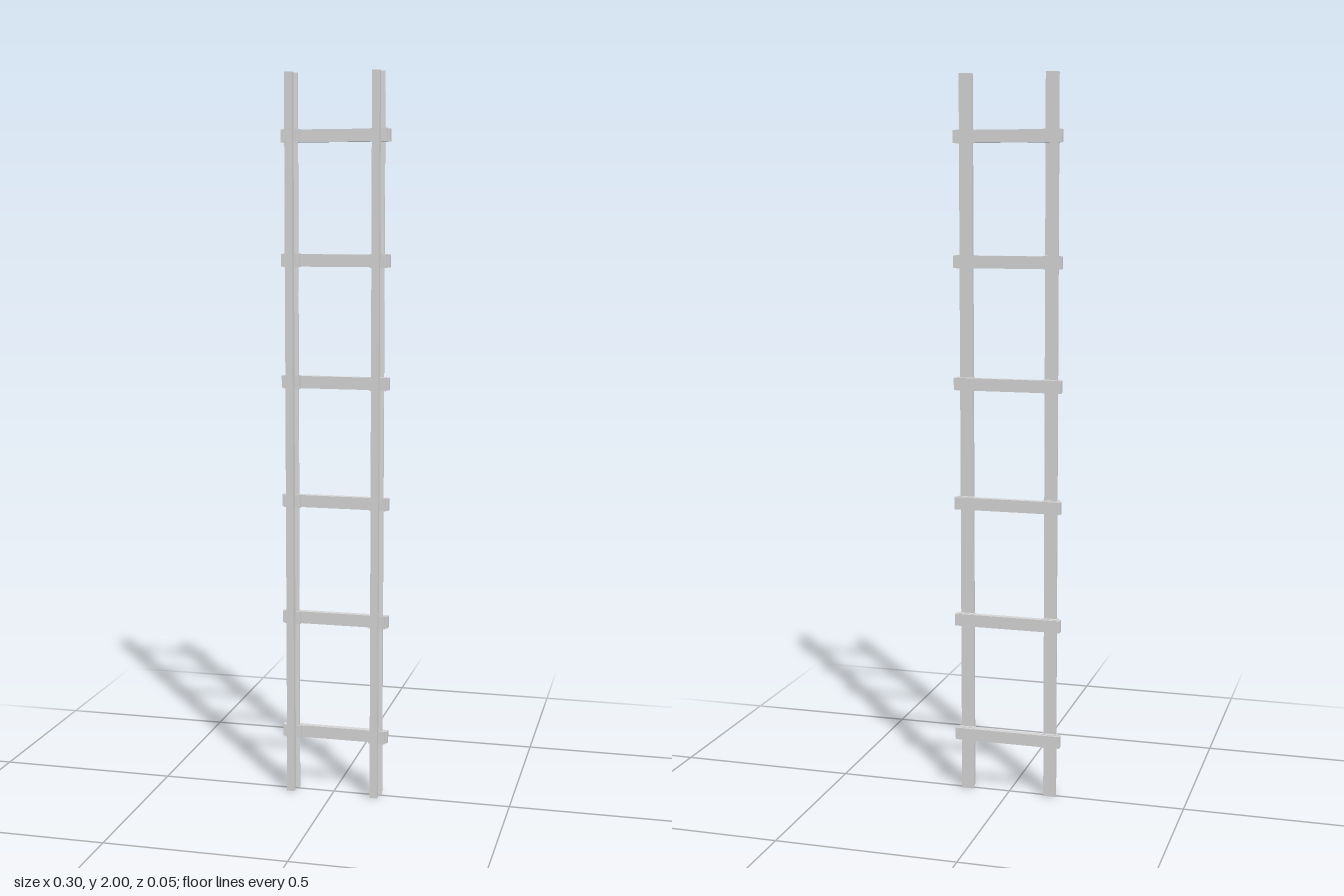
import * as THREE from 'three';

const HEIGHT = 2;
const RAIL_X = 0.12;
const SLEEPERS = 6;

// Half of the rail section as [half width, z], from foot to head
const HALF_SECTION = [
  [0.018, -0.0105], [0.018, -0.006], [0.007, -0.004],
  [0.007, 0.012], [0.0105, 0.013], [0.0105, 0.0275],
];

function railGeometry() {
  const right = HALF_SECTION.map(([x, z]) => new THREE.Vector2(x, -z));
  const left = HALF_SECTION.map(([x, z]) => new THREE.Vector2(-x, -z)).reverse();
  const shape = new THREE.Shape([...right, ...left]);
  const geometry = new THREE.ExtrudeGeometry(shape, { depth: HEIGHT, bevelEnabled: false });
  return geometry.rotateX(-Math.PI / 2);
}

export function createModel() {
  const model = new THREE.Group();
  model.name = 'uprightTrack';
  const steel = new THREE.MeshStandardMaterial({ color: 0xd6d6d6 });
  steel.name = 'lightGrey';

  const add = (name, geometry, x, y, z) => {
    const mesh = new THREE.Mesh(geometry, steel);
    mesh.name = name;
    mesh.position.set(x, y, z);
    model.add(mesh);
  };

  // Two long rails
  const rail = railGeometry();
  add('leftRail', rail, RAIL_X, 0, 0);
  add('rightRail', rail, -RAIL_X, 0, 0);

  // Evenly spaced sleepers, each with a clip gripping the foot of either rail
  const sleeper = new THREE.BoxGeometry(0.302, 0.034, 0.018);
  const clip = new THREE.BoxGeometry(0.046, 0.0365, 0.0175);
  for (let i = 0; i < SLEEPERS; i++) {
    const y = (i + 0.5) * HEIGHT / SLEEPERS;
    add('sleeper', sleeper, 0, y, -0.0185);
    for (const side of [1, -1]) add('railClip', clip, side * 0.121, y, -0.0118);
  }
  return model;
}
